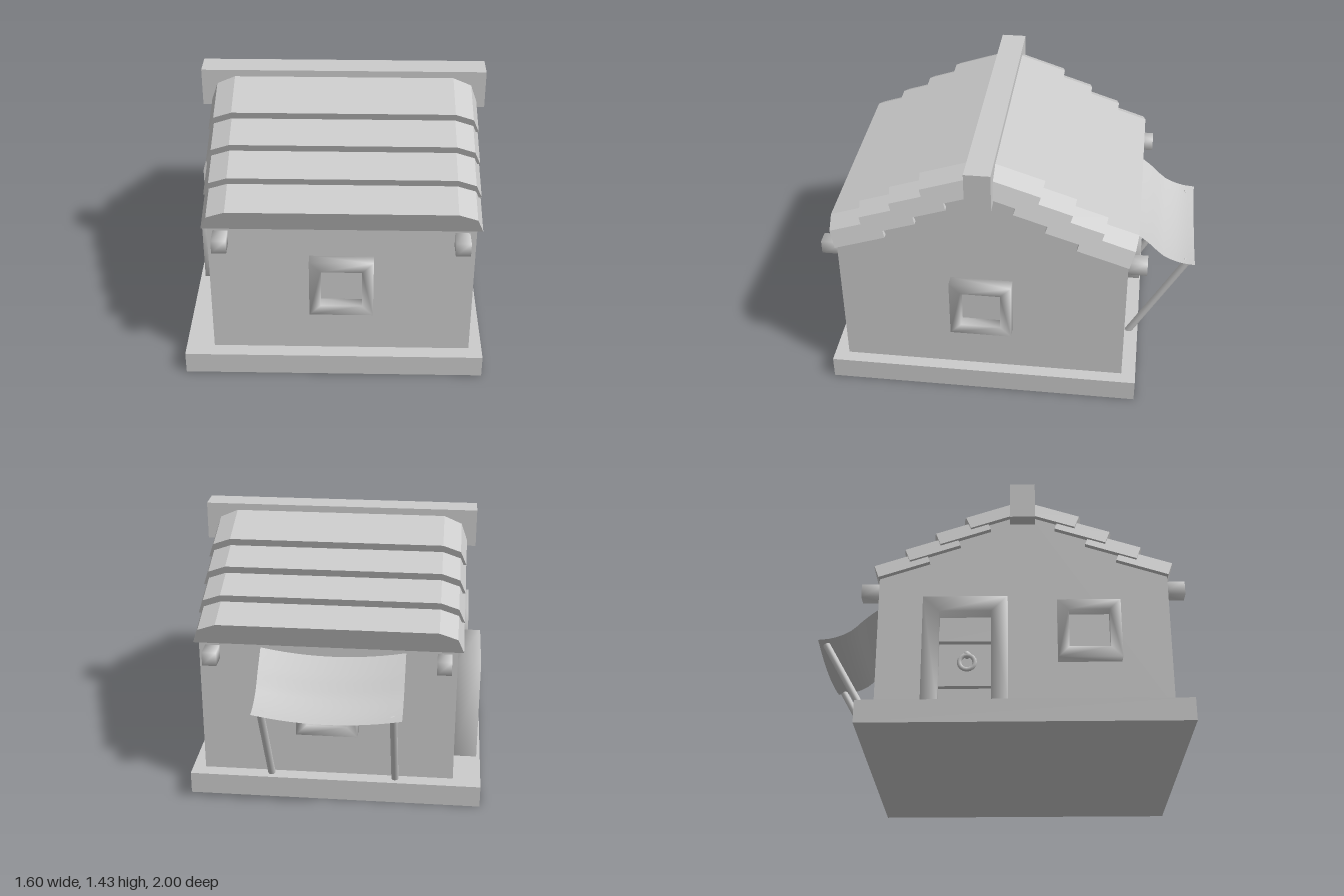
import * as THREE from 'three';
import { mergeVertices } from 'three/addons/utils/BufferGeometryUtils.js';

const CX = 0.035, CZ = 0.132; // centre of the house body
const mat = new THREE.MeshStandardMaterial({ color: 0xcccccc });
const sheetMat = new THREE.MeshStandardMaterial({ color: 0xcccccc, side: THREE.DoubleSide });

// Shared normals across edges for a soft, carved look
function soften(geo) {
  geo.deleteAttribute('normal');
  geo.deleteAttribute('uv');
  const g = mergeVertices(geo, 1e-4);
  g.computeVertexNormals();
  return g;
}

function add(parent, name, geo, material = mat) {
  const mesh = new THREE.Mesh(geo, material);
  mesh.name = name;
  parent.add(mesh);
  return mesh;
}

// Box given by its limits on each axis
function block(parent, name, [x0, x1], [y0, y1], [z0, z1], soft = false) {
  const geo = new THREE.BoxGeometry(x1 - x0, y1 - y0, z1 - z0);
  const mesh = add(parent, name, soft ? soften(geo) : geo);
  mesh.position.set((x0 + x1) / 2, (y0 + y1) / 2, (z0 + z1) / 2);
  return mesh;
}

function polygon(points) {
  return new THREE.Shape(points.map(([x, y]) => new THREE.Vector2(x, y)));
}

const extrude = (shape, depth) => new THREE.ExtrudeGeometry(shape, { depth, bevelEnabled: false });

// Square window frame facing +z, back on z = 0
function makeWindow(name) {
  const group = new THREE.Group();
  group.name = name;
  const o = 0.166, i = 0.107;
  const shape = polygon([[-o, -o], [o, -o], [o, o], [-o, o]]);
  shape.holes.push(new THREE.Path([[-i, -i], [-i, i], [i, i], [i, -i]].map(p => new THREE.Vector2(...p))));
  add(group, 'windowFrame', soften(extrude(shape, 0.065)));
  add(group, 'windowPane', new THREE.PlaneGeometry(2 * i, 2 * i)).position.z = 0.004;
  return group;
}

// Door facing +z, bottom centre at the origin
function makeDoor() {
  const door = new THREE.Group();
  door.name = 'door';
  const w = 0.22, h = 0.59, t = 0.085;
  const frame = polygon([[-w, 0], [-w + t, 0], [-w + t, h - t], [w - t, h - t],
    [w - t, 0], [w, 0], [w, h], [-w, h]]);
  add(door, 'doorFrame', soften(extrude(frame, 0.13)));
  block(door, 'doorPanel', [-w + t, w - t], [0, h - t], [0, 0.05]);
  for (const y of [0.13, 0.38]) block(door, 'doorBar', [-w + t, w - t], [y - 0.03, y + 0.03], [0.05, 0.085]);
  const ring = add(door, 'doorRing', new THREE.TorusGeometry(0.04, 0.012, 8, 16));
  ring.position.set(0.01, 0.24, 0.068);
  const knob = add(door, 'ringMount', new THREE.SphereGeometry(0.02, 10, 8));
  knob.position.set(0.01, 0.285, 0.06);
  return door;
}

// One slope of four overlapping planks, falling towards +z from the ridge
function makeRoofSlope() {
  const slope = new THREE.Group();
  slope.name = 'roofSlope';
  const section = polygon([[-0.715, 0], [0.715, 0], [0.682, 0.09], [0.585, 0.13],
    [-0.585, 0.13], [-0.682, 0.09]]);
  const geo = extrude(section, 0.288);
  geo.translate(0, 0, -0.288);
  for (let i = 0; i < 4; i++) {
    const plank = add(slope, 'roofPlank', geo);
    plank.position.set(0, 0.885 + i * 0.1, 0.774 - i * 0.164);
    plank.rotation.x = 0.321;
  }
  return slope;
}

// Sagging cloth sheet: side profile swept across x, lower in the middle
function makeAwning() {
  const profile = new THREE.CatmullRomCurve3([[0.87, -0.64], [0.79, -0.74], [0.71, -0.825],
    [0.67, -0.92], [0.66, -1]].map(([y, z]) => new THREE.Vector3(0, y, z)));
  const geo = new THREE.PlaneGeometry(0.77, 1, 12, 10);
  const pos = geo.attributes.position;
  for (let i = 0; i < pos.count; i++) {
    const x = pos.getX(i), p = profile.getPoint(THREE.MathUtils.clamp(0.5 - pos.getY(i), 0, 1));
    pos.setXYZ(i, -x, p.y - 0.038 * (1 - (x / 0.385) ** 2), p.z);
  }
  geo.computeVertexNormals();
  return geo;
}

// Round pole between two points
function pole(parent, name, a, b, r) {
  const dir = b.clone().sub(a);
  const mesh = add(parent, name, new THREE.CylinderGeometry(r, r, dir.length(), 10));
  mesh.position.copy(a).add(b).multiplyScalar(0.5);
  mesh.quaternion.setFromUnitVectors(new THREE.Vector3(0, 1, 0), dir.normalize());
}

export function createModel() {
  const house = new THREE.Group();
  house.name = 'house';

  block(house, 'base', [-0.8, 0.79], [0, 0.122], [-0.715, 0.98]);

  // Walls with gables on both sides
  const gable = polygon([[-0.77, 0.12], [0.77, 0.12], [0.77, 0.92], [0, 1.34], [-0.77, 0.92]]);
  const walls = add(house, 'walls', extrude(gable, 1.37));
  walls.rotation.y = Math.PI / 2;
  walls.position.set(-0.65, 0, CZ);

  // Roof
  for (const turn of [0, Math.PI]) {
    const slope = makeRoofSlope();
    slope.position.set(CX, 0, CZ);
    slope.rotation.y = turn;
    house.add(slope);
  }
  block(house, 'ridgeBeam', [-0.73, 0.795], [1.222, 1.43], [0.063, 0.2]);

  // Beams poking out under the eaves
  for (const x of [-0.582, 0.648])
    for (const [z0, z1] of [[-0.737, -0.6], [0.86, 0.998]])
      block(house, 'eaveBeam', [x - 0.038, x + 0.038], [0.797, 0.872], [z0, z1], true);

  // Windows on all four walls: position and facing
  const windows = [
    ['frontWindow', CX, 0.9, 0], ['backWindow', CX, -0.638, Math.PI],
    ['leftWindow', 0.72, 0.134, Math.PI / 2], ['rightWindow', -0.65, 0.475, -Math.PI / 2],
  ];
  for (const [name, x, z, turn] of windows) {
    const w = makeWindow(name);
    w.position.set(x, 0.555, z);
    w.rotation.y = turn;
    house.add(w);
  }

  const door = makeDoor();
  door.position.set(-0.65, 0.12, -0.17);
  door.rotation.y = -Math.PI / 2;
  house.add(door);

  // Awning on two slanted poles at the back
  const awning = add(house, 'awning', makeAwning(), sheetMat);
  awning.position.x = 0.005;
  for (const x of [-0.335, 0.345])
    pole(house, 'awningPole', new THREE.Vector3(x, 0.115, -0.66), new THREE.Vector3(x, 0.65, -0.96), 0.02);

  return house;
}
